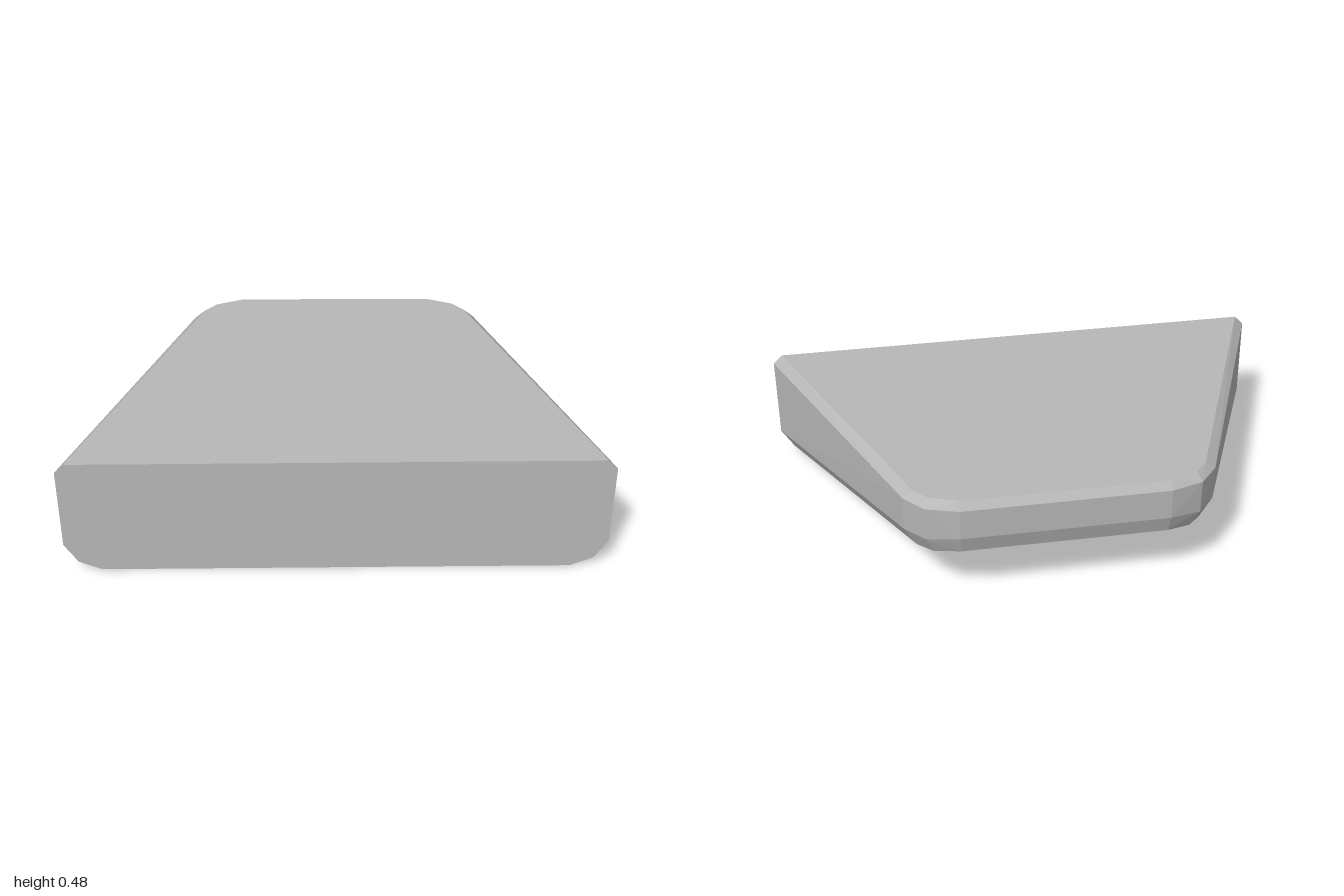
import * as THREE from 'three';
import { ConvexGeometry } from 'three/addons/geometries/ConvexGeometry.js';

export function createModel() {
  const group = new THREE.Group();
  const gray = new THREE.MeshStandardMaterial({ color: 0xb8b8b8 });
  gray.name = 'stoneGray';

  // Corner points of one half: flat wide front, narrow rounded back
  const half = [
    // front face, top to bottom
    [0.965, 0.48, 0.597], [1, 0.445, 0.597], [1, 0.12, 0.597],
    [0.95, 0.04, 0.597], [0.865, 0.004, 0.597],
    // back corner: top edge
    [0.535, 0.48, -0.49], [0.49, 0.48, -0.54], [0.385, 0.48, -0.582],
    // back corner: upper and lower rim of the wall
    [0.575, 0.45, -0.485], [0.505, 0.45, -0.568], [0.385, 0.45, -0.605],
    [0.575, 0.31, -0.475], [0.505, 0.315, -0.56], [0.385, 0.33, -0.603],
    // back corner: rounding into the sloping underside
    [0.53, 0.235, -0.475], [0.475, 0.245, -0.54], [0.38, 0.26, -0.58],
    [0.435, 0.2, -0.48],
  ];

  // Mirror the corners; the front edge is a touch skewed
  const points = [];
  for (const side of [1, -1]) {
    for (const [x, y, z] of half) {
      const skew = z > 0 ? -0.006 * side * x : 0;
      points.push(new THREE.Vector3(side * x, y, z + skew));
    }
  }

  const block = new THREE.Mesh(new ConvexGeometry(points), gray);
  block.name = 'taperedBlock';
  group.add(block);
  return group;
}
